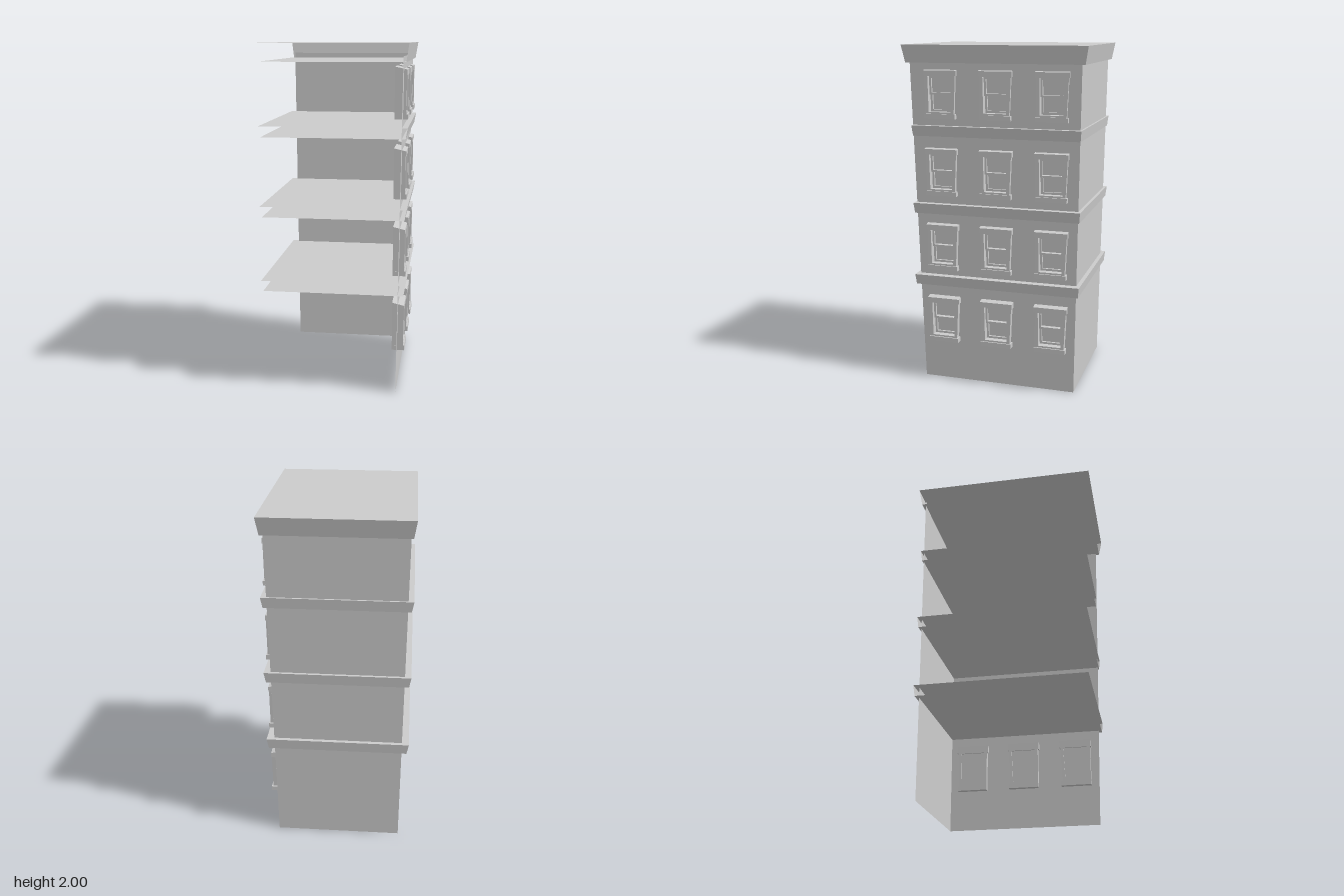
import * as THREE from 'three';

const stone = new THREE.MeshStandardMaterial({ color: 0xcccccc, side: THREE.DoubleSide });
stone.name = 'grey stone';

function add(parent, name, geometry) {
  const mesh = new THREE.Mesh(geometry, stone);
  mesh.name = name;
  parent.add(mesh);
  return mesh;
}

// flat four-cornered sheet, corners counter-clockwise from outside
function sheet(parent, name, corners) {
  const g = new THREE.BufferGeometry();
  g.setAttribute('position', new THREE.Float32BufferAttribute(corners.flat(), 3));
  g.setIndex([0, 1, 2, 0, 2, 3]);
  g.computeVertexNormals();
  return add(parent, name, g);
}

const toPath = (pts, Type) => new Type(pts.map(([u, y]) => new THREE.Vector2(u, y)));

// outline in (u = -z, y), extruded along x from x0 to x1
function slab(parent, name, outer, hole, x0, x1) {
  const shape = toPath(outer, THREE.Shape);
  if (hole) shape.holes.push(toPath(hole, THREE.Path));
  const g = new THREE.ExtrudeGeometry(shape, { depth: x1 - x0, bevelEnabled: false });
  g.rotateY(Math.PI / 2).translate(x0, 0, 0);
  return add(parent, name, g);
}

const rect = (l, r, b, t) => [[l, b], [r, b], [r, t], [l, t]];

const FLOORS = [0, 1, 2, 3].map((i) => 0.245 + i * 0.447);
const COLUMNS = [-0.316, 0.011, 0.337];

// sash window, y = 0 at the underside of the sill
function makeWindow() {
  const w = new THREE.Group();
  w.name = 'window';
  const opening = [[-0.068, 0.038], [0.065, 0.038], [0.075, 0.24], [-0.072, 0.24]];
  slab(w, 'casing', [[-0.092, 0.028], [0.083, 0.028], [0.093, 0.245], [-0.092, 0.245]],
    opening, 0.335, 0.4);
  slab(w, 'sill', rect(-0.093, 0.092, 0, 0.028), null, 0.335, 0.408);
  // hood with a top sloping down toward the street
  const hood = slab(w, 'hood', rect(-0.098, 0.098, 0.243, 0.288), null, 0.335, 0.403);
  const p = hood.geometry.attributes.position;
  for (let i = 0; i < p.count; i++) {
    if (p.getY(i) > 0.27 && p.getX(i) > 0.37) p.setY(i, 0.272);
  }
  hood.geometry.computeVertexNormals();
  // two sashes, the upper one further out
  slab(w, 'upperSash', [[-0.07, 0.135], [0.069, 0.135], [0.075, 0.24], [-0.072, 0.24]],
    [[-0.058, 0.146], [0.057, 0.146], [0.062, 0.228], [-0.06, 0.228]], 0.362, 0.376);
  slab(w, 'lowerSash', [[-0.068, 0.038], [0.065, 0.038], [0.069, 0.146], [-0.07, 0.146]],
    [[-0.056, 0.05], [0.053, 0.05], [0.057, 0.135], [-0.058, 0.135]], 0.348, 0.362);
  slab(w, 'pane', opening, null, 0.344, 0.349);
  return w;
}

// flared ledge: top and bottom plates, with faces only on the right and back sides
function ledge(parent, name, y0, y1, lo, hi) {
  const ring = ([xa, xb, za, zb], y) => [[xa, y, zb], [xb, y, zb], [xb, y, za], [xa, y, za]];
  const b = ring(lo, y0), t = ring(hi, y1);
  const g = new THREE.Group();
  g.name = name;
  sheet(g, 'topPlate', t);
  sheet(g, 'bottomPlate', [...b].reverse());
  sheet(g, 'sideFace', [b[1], b[2], t[2], t[1]]);
  sheet(g, 'backFace', [b[2], b[3], t[3], t[2]]);
  parent.add(g);
}

export function createModel() {
  const model = new THREE.Group();
  model.name = 'buildingCorner';

  // window wall, leaning out as it rises, with an opening behind each window
  const H = 1.93;
  const shape = toPath([[-0.45, 0], [0.474, 0], [0.5, H], [-0.5, H]], THREE.Shape);
  for (const y of FLOORS) {
    for (const u of COLUMNS) {
      shape.holes.push(toPath(rect(u - 0.078, u + 0.078, y + 0.034, y + 0.242), THREE.Path));
      const w = makeWindow();
      w.position.set(0, y, -u);
      model.add(w);
    }
  }
  const wall = new THREE.ShapeGeometry(shape).rotateY(Math.PI / 2);
  const p = wall.attributes.position;
  for (let i = 0; i < p.count; i++) p.setX(i, 0.362 + 0.0125 * p.getY(i));
  wall.computeVertexNormals();
  add(model, 'windowWall', wall);

  // plain back wall
  sheet(model, 'backWall', [
    [0.362, 0, -0.474], [-0.37, 0, -0.474], [-0.39, H, -0.5], [0.386, H, -0.5],
  ]);

  // ledges between floors and the cornice with the roof
  for (const y of [0.595, 1.03, 1.485]) {
    ledge(model, 'floorLedge', y, y + 0.061,
      [-0.405, 0.402, -0.5, 0.483], [-0.417, 0.413, -0.506, 0.488]);
  }
  ledge(model, 'cornice', 1.9, 2,
    [-0.402, 0.402, -0.52, 0.52], [-0.418, 0.418, -0.538, 0.538]);
  return model;
}
